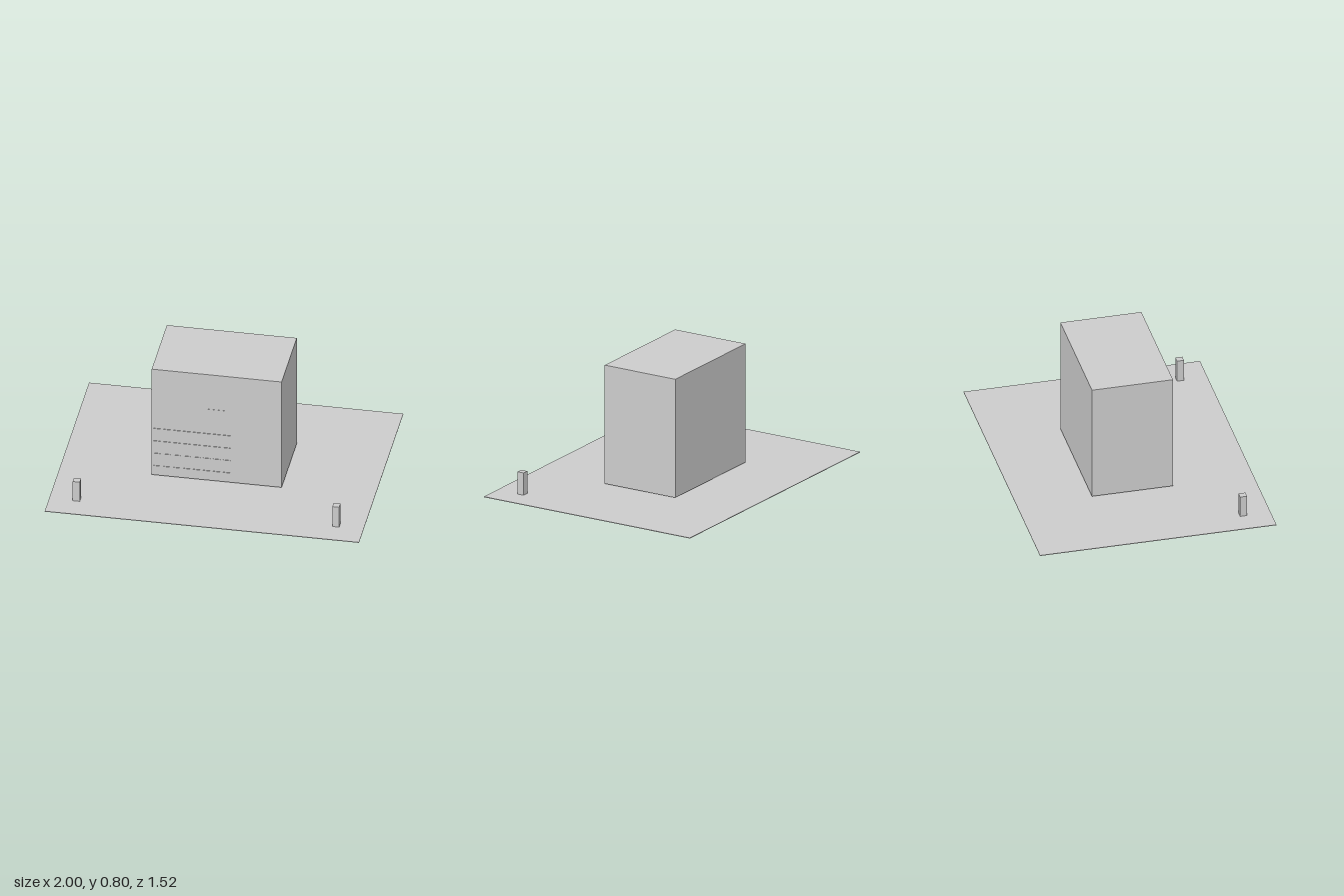
import * as THREE from 'three';

export function createModel() {
  const model = new THREE.Group();
  const grey = new THREE.MeshStandardMaterial({ color: 0xcccccc });
  grey.name = 'light grey';

  // Box given by its min and max corners
  function box(name, [x0, y0, z0], [x1, y1, z1], parent = model) {
    const geometry = new THREE.BoxGeometry(x1 - x0, y1 - y0, z1 - z0);
    const mesh = new THREE.Mesh(geometry, grey);
    mesh.position.set((x0 + x1) / 2, (y0 + y1) / 2, (z0 + z1) / 2);
    mesh.name = name;
    parent.add(mesh);
    return mesh;
  }

  // Thin ground slab and the main block, raised slightly above it
  box('ground', [-1, 0, -0.762], [1, 0.004, 0.762]);
  const front = 0.239;
  box('building', [-0.416, 0.016, -0.283], [0.411, 0.798, front]);

  // Sign panel on the front wall
  box('signPanel', [-0.077, 0.505, front - 0.002], [0.07, 0.543, front + 0.002]);

  // Grid of window plates on the lower front wall
  const windows = new THREE.Group();
  windows.name = 'windows';
  model.add(windows);
  const width = 0.046, height = 0.056;
  for (let row = 0; row < 4; row++) {
    for (let column = 0; column < 8; column++) {
      const x = -0.382 + column * 0.0634;
      const y = 0.059 + row * 0.0917;
      box('window', [x - width / 2, y - height / 2, front - 0.002],
        [x + width / 2, y + height / 2, front + 0.004], windows);
    }
  }

  // Square posts at the front corners of the ground
  box('rightPost', [-0.85, 0.002, 0.565], [-0.805, 0.146, 0.61]);
  box('leftPost', [0.802, 0.002, 0.565], [0.846, 0.151, 0.61]);

  return model;
}
